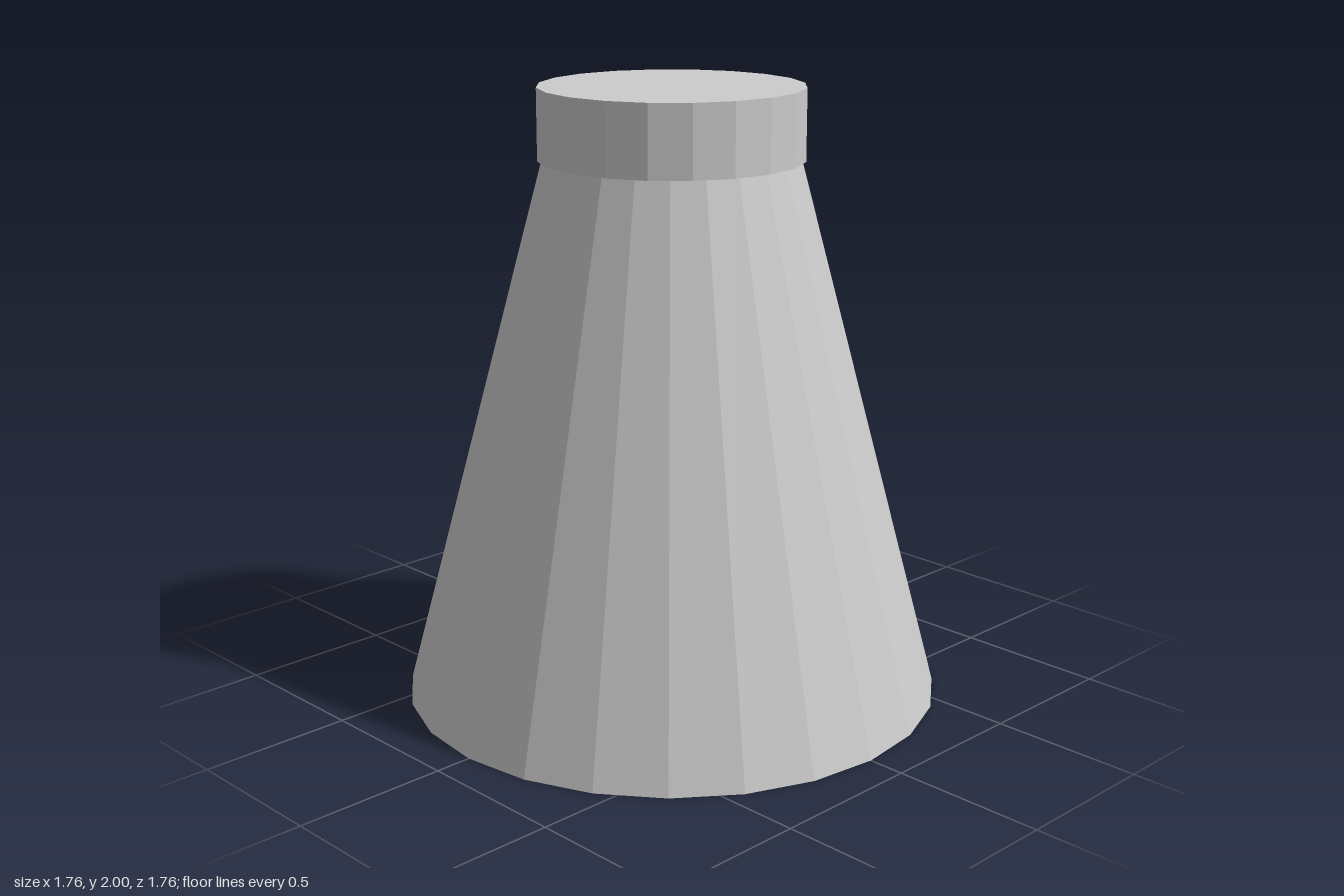
import * as THREE from 'three';

const material = new THREE.MeshStandardMaterial({ color: 0xcccccc, flatShading: true });

// A faceted, closed frustum standing between two heights
function frustum(name, topRadius, bottomRadius, y0, y1, sides) {
  const geometry = new THREE.CylinderGeometry(topRadius, bottomRadius, y1 - y0, sides);
  const mesh = new THREE.Mesh(geometry, material);
  mesh.name = name;
  mesh.position.y = (y0 + y1) / 2;
  return mesh;
}

export function createModel() {
  const group = new THREE.Group();
  group.name = 'conicalFlask';

  // Tapered body, flat underneath
  group.add(frustum('body', 0.41, 0.88, 0, 1.77, 24));

  // Slightly wider cap on top
  group.add(frustum('cap', 0.425, 0.425, 1.77, 2, 20));

  return group;
}
